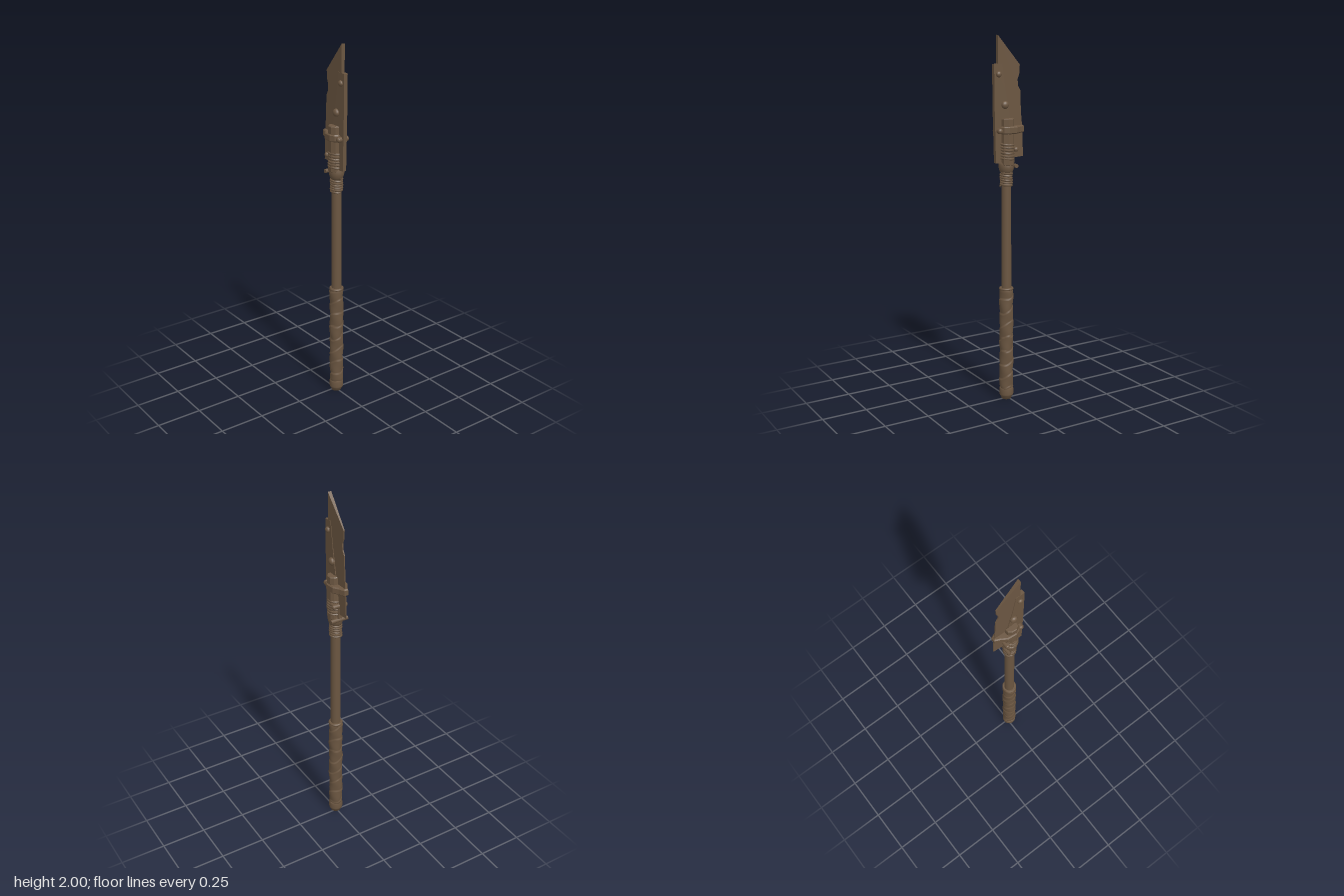
import * as THREE from 'three';

const HAFT_X = 0.011;

function shapeOf(points) {
  return new THREE.Shape(points.map(([x, y]) => new THREE.Vector2(x, y)));
}

// Plate standing in the x-y plane, centred on z = 0
function plate(points, thickness) {
  const g = new THREE.ExtrudeGeometry(shapeOf(points), { depth: thickness, bevelEnabled: false });
  return g.translate(0, 0, -thickness / 2);
}

// Plan outline in x and -z raised between two heights
function raised(points, y0, y1, bevel = 0.004) {
  const g = new THREE.ExtrudeGeometry(shapeOf(points), {
    depth: y1 - y0 - 2 * bevel, bevelEnabled: true, bevelSize: bevel,
    bevelThickness: bevel, bevelOffset: -bevel, bevelSegments: 1,
  });
  return g.rotateX(-Math.PI / 2).translate(0, y0 + bevel, 0);
}

// Cord wound around the haft
function coil(rx, rz, y0, y1, turns, thick) {
  const pts = [];
  const n = turns * 12;
  for (let i = 0; i <= n; i++) {
    const a = (i / 12) * Math.PI * 2;
    const wob = 1 + 0.04 * Math.sin(i * 1.7);
    pts.push(new THREE.Vector3(Math.cos(a) * rx * wob, y0 + (y1 - y0) * i / n, Math.sin(a) * rz * wob));
  }
  return new THREE.TubeGeometry(new THREE.CatmullRomCurve3(pts), n * 2, thick, 6);
}

export function createModel() {
  const root = new THREE.Group();
  root.name = 'polearm';
  const brown = new THREE.MeshStandardMaterial({ color: 0x6b5641 });
  brown.name = 'weathered brown';

  const add = (name, geometry, x = 0, y = 0, z = 0) => {
    const m = new THREE.Mesh(geometry, brown);
    m.name = name;
    m.position.set(x, y, z);
    root.add(m);
    return m;
  };
  const lathe = (profile, segs = 20) =>
    new THREE.LatheGeometry(profile.map(([r, y]) => new THREE.Vector2(r, y)), segs);

  // Shaft and pommel
  add('shaft', new THREE.CylinderGeometry(0.026, 0.028, 0.75, 16), HAFT_X, 0.96, 0);
  add('pommel', lathe([[0, 0], [0.027, 0], [0.031, 0.016], [0.037, 0.02], [0.039, 0.028],
    [0.039, 0.058], [0.035, 0.068], [0, 0.068]]), HAFT_X);

  // Grip of overlapping leather turns with an uneven surface
  const grip = new THREE.CylinderGeometry(1, 1, 0.59, 28, 110);
  const p = grip.attributes.position;
  for (let i = 0; i < p.count; i++) {
    const x = p.getX(i), y = p.getY(i), z = p.getZ(i);
    if (Math.hypot(x, z) < 0.5) continue;
    const a = Math.atan2(z, x);
    const t = y / 0.075 + a / (2 * Math.PI) + 0.12 * Math.sin(2 * a + y * 19);
    const turn = t - Math.floor(t);
    const lump = 0.0012 * Math.sin(3 * a + y * 31) + 0.001 * Math.sin(a * 2 - y * 53);
    const end = Math.min(1, (0.295 - Math.abs(y)) / 0.02);
    const r = 0.0345 + 0.0045 * Math.sqrt(turn) * end + lump;
    p.setXYZ(i, x * r, y, z * r);
  }
  grip.computeVertexNormals();
  add('leatherGrip', grip, HAFT_X, 0.35, 0);
  add('gripTopBand', new THREE.TorusGeometry(0.033, 0.007, 8, 24).rotateX(Math.PI / 2), HAFT_X, 0.638, 0);

  // Cord binding and collar under the head
  add('lowerCord', coil(0.029, 0.029, 1.205, 1.28, 6, 0.007), HAFT_X);
  add('collar', lathe([[0, 1.275], [0.029, 1.275], [0.036, 1.288], [0.041, 1.305],
    [0.041, 1.325], [0.035, 1.34], [0, 1.34]]), HAFT_X);
  const peg = new THREE.CylinderGeometry(0.011, 0.011, 0.1, 10).rotateX(Math.PI / 2);
  add('collarPeg', peg, -0.024, 1.318, 0);

  // Cutting blade, tapering to a thin edge on the right side
  const blade = plate([[0.066, 2], [-0.07, 1.845], [-0.068, 1.8], [-0.056, 1.77], [-0.06, 1.735],
    [-0.074, 1.71], [-0.078, 1.6], [-0.088, 1.5], [-0.092, 1.36], [-0.03, 1.357],
    [0.04, 1.36], [0.066, 1.6]], 1);
  const b = blade.attributes.position;
  for (let i = 0; i < b.count; i++) {
    b.setZ(i, b.getZ(i) * (0.004 + 0.1 * Math.max(0, b.getX(i) + 0.092)));
  }
  blade.computeVertexNormals();
  add('blade', blade);

  // Backing plate running diagonally along the blunt side
  add('spinePlate', plate([[0.041, 1.855], [0.09, 1.852], [0.087, 1.6], [0.08, 1.335],
    [-0.035, 1.33], [-0.033, 1.4], [-0.008, 1.56], [0.02, 1.71]], 0.022));

  // Split haft cheeks holding the blade
  for (const s of [1, -1]) {
    const cheek = [[-0.024, 0.008], [-0.021, 0.028], [-0.006, 0.042], [0.022, 0.044],
      [0.042, 0.03], [0.046, 0.008]].map(([x, z]) => [x, -z * s]);
    add('haftCheek', raised(cheek, 1.32, 1.57));
  }
  add('upperCord', coil(0.037, 0.042, 1.345, 1.435, 6, 0.0065), HAFT_X);

  // Clasp wrapping the cheeks and the cutting edge
  const half = [[-0.092, 0.012], [-0.06, 0.026], [-0.032, 0.045], [0.018, 0.05], [0.045, 0.038], [0.054, 0.02]];
  const outline = [...half, ...half.map(([x, z]) => [x, -z]).reverse()];
  add('clasp', raised(outline, 1.488, 1.528, 0.006));

  // Rivets through the plates, domed on both faces
  const rivets = [[0.063, 1.8, 0.016, 0.026], [0.026, 1.64, 0.021, 0.03],
    [0.062, 1.505, 0.015, 0.037], [-0.028, 1.405, 0.013, 0.046]];
  for (const [x, y, r, reach] of rivets) {
    for (const s of [1, -1]) {
      const dome = new THREE.SphereGeometry(r, 14, 6, 0, Math.PI * 2, 0, Math.PI / 2)
        .scale(1, 0.75, 1).rotateX(s * Math.PI / 2);
      add('rivet', dome, x, y, s * (reach - r * 0.75));
    }
    const pin = new THREE.CylinderGeometry(r, r, 2 * (reach - r * 0.75), 14).rotateX(Math.PI / 2);
    add('rivetPin', pin, x, y, 0);
  }
  return root;
}
